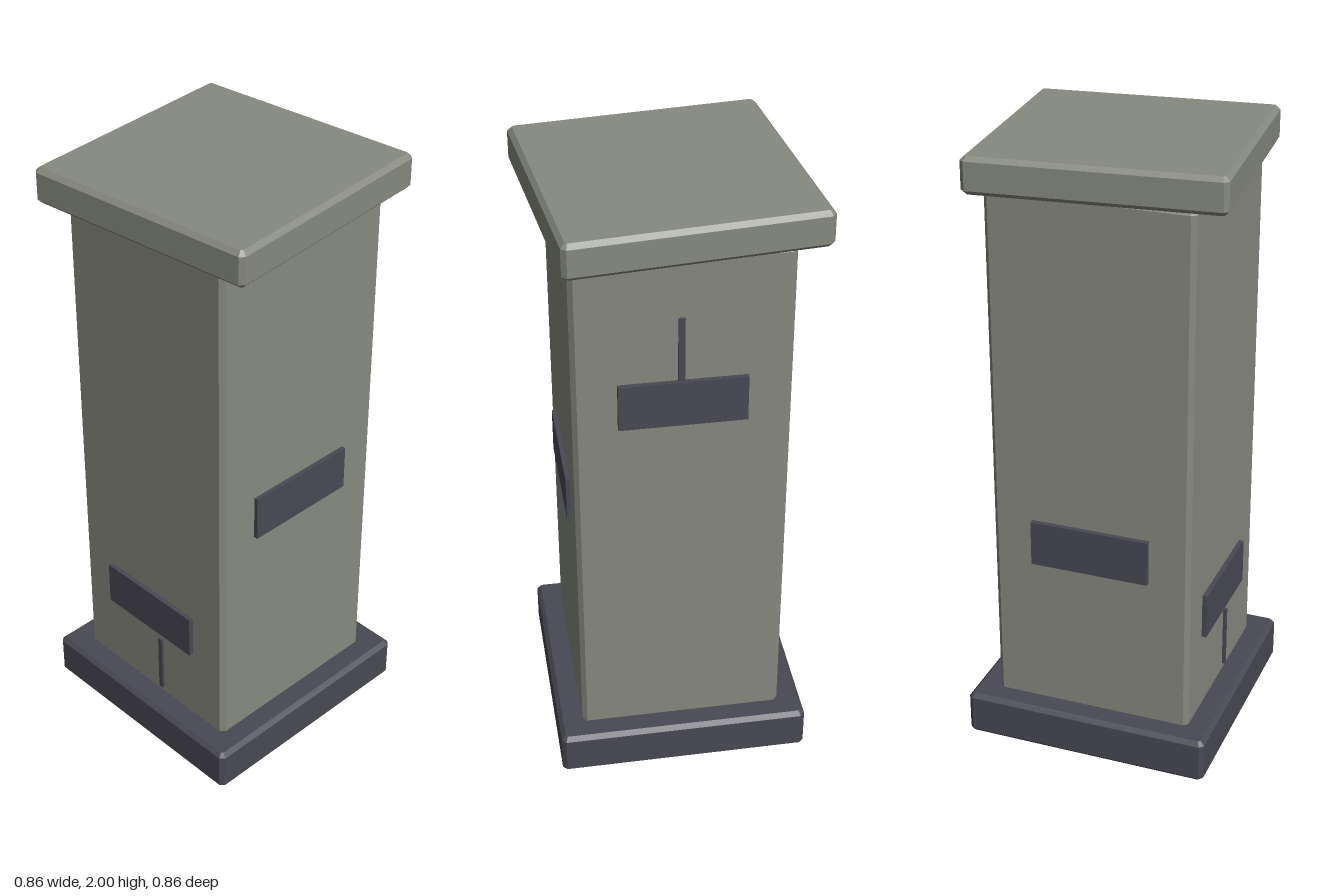
import * as THREE from 'three';

const stone = new THREE.MeshStandardMaterial({ color: 0x878a80 });
stone.name = 'stone grey';
const slate = new THREE.MeshStandardMaterial({ color: 0x494953 });
slate.name = 'dark slate';

// Square block with every edge chamfered by c, standing between y0 and y1
function chamferedBlock(name, half, y0, y1, c, material) {
  const h = half - c;
  const k = c * 0.414; // corner cut of the inset outline
  const outline = new THREE.Shape([
    [h - k, -h], [h, -h + k], [h, h - k], [h - k, h],
    [-h + k, h], [-h, h - k], [-h, -h + k], [-h + k, -h],
  ].map(([x, y]) => new THREE.Vector2(x, y)));
  const geometry = new THREE.ExtrudeGeometry(outline, {
    depth: y1 - y0 - 2 * c, bevelEnabled: true,
    bevelSize: c, bevelThickness: c, bevelSegments: 1,
  });
  geometry.rotateX(-Math.PI / 2);
  geometry.translate(0, y0 + c, 0);
  const mesh = new THREE.Mesh(geometry, material);
  mesh.name = name;
  return mesh;
}

// Slate strip on one side of the shaft; angle 0 faces +z
function strip(name, angle, x, y0, y1, width, reach) {
  const inner = 0.31;
  const geometry = new THREE.BoxGeometry(width, y1 - y0, reach - inner);
  geometry.translate(x, (y0 + y1) / 2, (reach + inner) / 2);
  geometry.rotateY(angle);
  const mesh = new THREE.Mesh(geometry, slate);
  mesh.name = name;
  return mesh;
}

export function createModel() {
  const pillar = new THREE.Group();
  pillar.name = 'pillar';

  // Plinth, with the shaft running through it to the ground
  const base = chamferedBlock('base', 0.409, 0.001, 0.15, 0.014, slate);
  const shaft = chamferedBlock('shaft', 0.33, 0, 1.885, 0.015, stone);

  // Cap slab, knocked slightly askew
  const cap = chamferedBlock('cap', 0.394, 1.885, 2, 0.014, stone);
  cap.rotation.y = 0.1;
  pillar.add(base, shaft, cap);

  // Inlaid bands, climbing around the four sides
  const q = Math.PI / 2;
  pillar.add(
    strip('frontBand', 0, -0.003, 0.412, 0.563, 0.39, 0.346),
    strip('leftBand', q, 0, 0.9, 1.05, 0.39, 0.344),
    strip('backBand', 2 * q, 0, 1.322, 1.473, 0.39, 0.346),
    strip('rightBand', -q, 0, 0.655, 0.805, 0.39, 0.347),
  );

  // Narrow cracks
  pillar.add(
    strip('frontCrack', 0, 0.04, 0.17, 0.38, 0.017, 0.339),
    strip('backCrack', 2 * q, -0.005, 1.47, 1.685, 0.02, 0.338),
  );
  return pillar;
}
